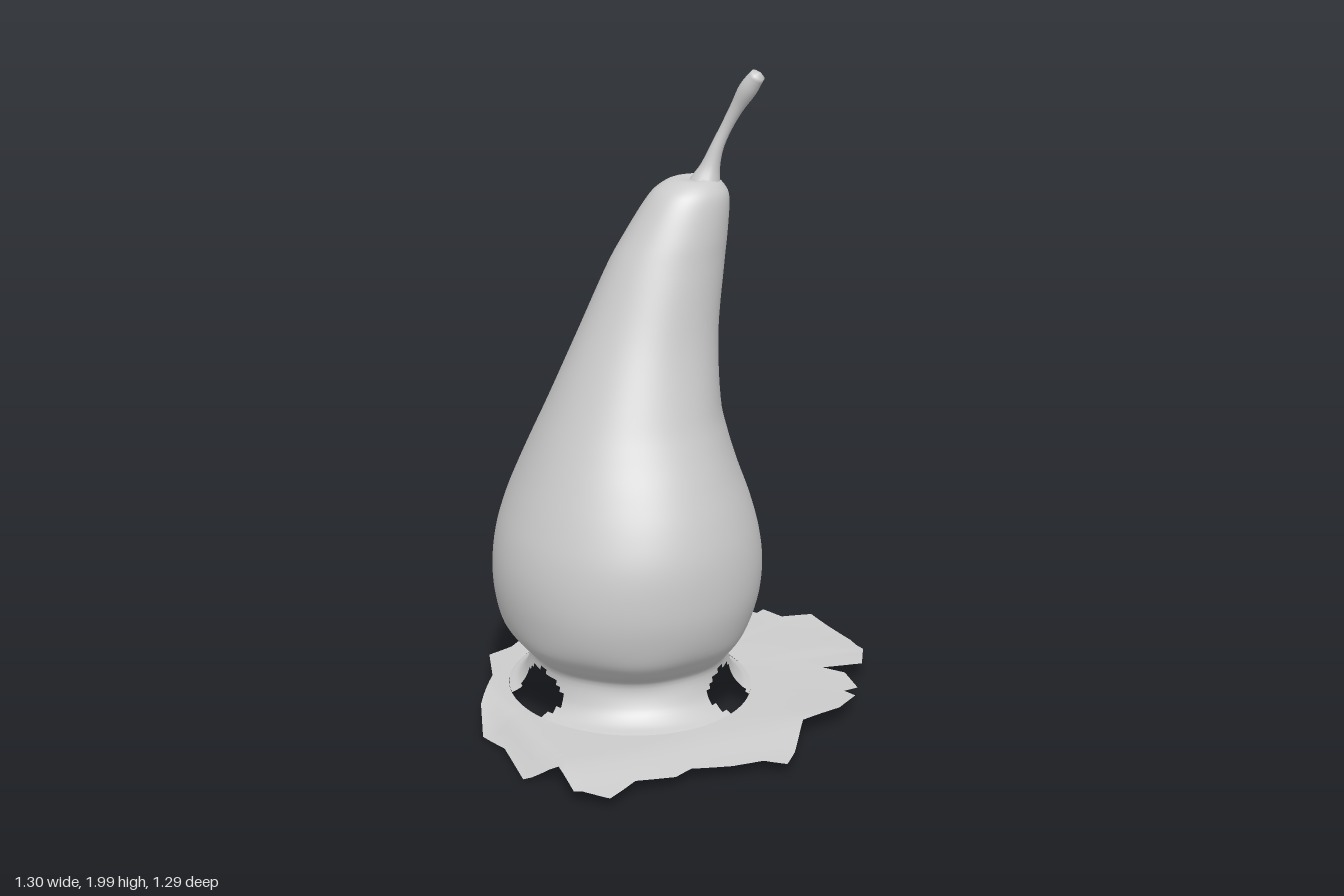
import * as THREE from 'three';
import { mergeVertices } from 'three/addons/utils/BufferGeometryUtils.js';

const material = new THREE.MeshStandardMaterial({ color: 0xcccccc, roughness: 0.8, side: THREE.DoubleSide });

// Skin a closed-loop grid: point(row, col) gives each vertex; skip(p) cuts faces away.
function skin(name, rows, cols, point, skip = () => false) {
  const pos = [], index = [], pts = [];
  for (let r = 0; r <= rows; r++)
    for (let c = 0; c < cols; c++) {
      const p = point(r, c);
      pts.push(p);
      pos.push(p.x, p.y, p.z);
    }
  for (let r = 0; r < rows; r++)
    for (let c = 0; c < cols; c++) {
      const n = (c + 1) % cols;
      const a = r * cols + c, b = r * cols + n, d = a + cols, e = b + cols;
      const mid = pts[a].clone().add(pts[e]).multiplyScalar(0.5);
      if (!skip(mid)) index.push(a, d, b, b, d, e);
    }
  const g = new THREE.BufferGeometry();
  g.setAttribute('position', new THREE.Float32BufferAttribute(pos, 3));
  g.setIndex(index);
  g.computeVertexNormals();
  const mesh = new THREE.Mesh(g, material);
  mesh.name = name;
  return mesh;
}

// Leaning fruit sections: height, min x, max x, min z, max z
const sections = [
  [0.065, -0.51, 0.24, -0.45, 0.36],
  [0.08, -0.475, 0.212, -0.425, 0.325],
  [0.12, -0.45, 0.185, -0.395, 0.288],
  [0.19, -0.44, 0.175, -0.375, 0.272],
  [0.24, -0.485, 0.192, -0.392, 0.325],
  [0.3, -0.53, 0.225, -0.432, 0.372],
  [0.4, -0.555, 0.255, -0.457, 0.4],
  [0.5, -0.56, 0.264, -0.462, 0.404],
  [0.6, -0.545, 0.252, -0.457, 0.392],
  [0.7, -0.512, 0.226, -0.432, 0.36],
  [0.8, -0.47, 0.192, -0.39, 0.315],
  [0.9, -0.425, 0.165, -0.345, 0.265],
  [1.0, -0.378, 0.148, -0.306, 0.22],
  [1.2, -0.285, 0.15, -0.25, 0.148],
  [1.4, -0.19, 0.175, -0.21, 0.1],
  [1.5, -0.13, 0.188, -0.19, 0.08],
  [1.6, -0.062, 0.196, -0.165, 0.054],
  [1.64, -0.02, 0.18, -0.145, 0.03],
  [1.66, 0.03, 0.155, -0.115, 0.0],
  [1.655, 0.09, 0.14, -0.06, -0.025],
  [1.65, 0.12, 0.12, -0.04, -0.04],
];

// Two gaps in the foot: angle, half width (degrees)
const gaps = [[50, 17], [174, 22]];
const inGap = (p) => {
  const deg = THREE.MathUtils.radToDeg(Math.atan2(p.z + 0.05, p.x + 0.135));
  return gaps.some(([mid, half]) => {
    const d = ((deg - mid + 540) % 360) - 180;
    return (d / half) ** 2 + ((p.y - 0.11) / 0.06) ** 2 < 1;
  });
};

function fruitBody() {
  const xs = new THREE.CatmullRomCurve3(sections.map((s) => new THREE.Vector3(s[1], s[0], s[2])), false, 'catmullrom');
  const zs = new THREE.CatmullRomCurve3(sections.map((s) => new THREE.Vector3(s[3], s[0], s[4])), false, 'catmullrom');
  const rows = (sections.length - 1) * 5, cols = 108;
  return skin('fruitBody', rows, cols, (r, c) => {
    const x = xs.getPoint(r / rows), z = zs.getPoint(r / rows);
    const a = (c / cols) * Math.PI * 2;
    // faint lumps, strongest on the crease above the foot
    const crease = Math.exp(-(((x.y - 0.25) / 0.06) ** 2));
    const k = 1 + 0.012 * crease * Math.sin(7 * a + 1) + 0.003 * Math.sin(5 * a + x.y * 9);
    return new THREE.Vector3(
      (x.x + x.z) / 2 + ((x.z - x.x) / 2) * Math.cos(a) * k,
      x.y,
      (z.x + z.z) / 2 + ((z.z - z.x) / 2) * Math.sin(a) * k
    );
  }, inGap);
}

// Ragged outline of the ground sheet (x, z)
const outline = [
  [-0.23, -0.64], [-0.12, -0.65], [-0.03, -0.61], [0.12, -0.54], [0.19, -0.585], [0.23, -0.54],
  [0.42, -0.44], [0.465, -0.36], [0.495, -0.38], [0.525, -0.3], [0.625, -0.28], [0.64, -0.12],
  [0.65, 0.04], [0.59, 0.145], [0.465, 0.11], [0.51, 0.18], [0.495, 0.295], [0.445, 0.3],
  [0.46, 0.345], [0.37, 0.41], [0.23, 0.44], [0.13, 0.585], [0.075, 0.645], [0.02, 0.6],
  [-0.08, 0.595], [-0.2, 0.565], [-0.26, 0.59], [-0.38, 0.57], [-0.485, 0.63], [-0.565, 0.55],
  [-0.56, 0.42], [-0.645, 0.35], [-0.63, 0.155], [-0.655, 0.035], [-0.61, -0.105], [-0.52, -0.245],
  [-0.47, -0.41], [-0.38, -0.445], [-0.255, -0.55],
];

function groundSheet() {
  const split = 4, cols = outline.length * split, rows = 8;
  return skin('groundSheet', rows, cols, (r, c) => {
    const i = Math.floor(c / split), f = (c % split) / split;
    const p = outline[i], q = outline[(i + 1) % outline.length];
    const ox = p[0] + (q[0] - p[0]) * f, oz = p[1] + (q[1] - p[1]) * f;
    const a = Math.atan2((oz + 0.045) / 0.405, (ox + 0.135) / 0.375);
    const t = r / rows;
    const x = THREE.MathUtils.lerp(ox, -0.135 + 0.375 * Math.cos(a), t);
    const z = THREE.MathUtils.lerp(oz, -0.045 + 0.405 * Math.sin(a), t);
    // edges droop at the -x side and the front
    const droop = 0.06 * THREE.MathUtils.smoothstep(-x, 0.54, 0.655) * THREE.MathUtils.smoothstep(z, -0.25, 0.03)
      + 0.025 * THREE.MathUtils.smoothstep(z, 0.4, 0.64);
    const ripple = 0.005 * Math.sin(9 * x + 2) * Math.sin(11 * z) * (1 - t);
    return new THREE.Vector3(x, Math.max(0, 0.066 + 0.006 * (1 - t) * (z < 0 ? 1 : 0) - droop + ripple), z);
  });
}

function stem() {
  const path = new THREE.CatmullRomCurve3([
    [0.115, 1.63, -0.045], [0.13, 1.68, -0.04], [0.15, 1.75, -0.03], [0.178, 1.82, -0.015],
    [0.205, 1.89, 0.012], [0.228, 1.95, 0.043], [0.245, 1.988, 0.066],
  ].map((p) => new THREE.Vector3(...p)));
  // radius along the stem: flared root, slim neck, knobbed tip
  const radii = new THREE.SplineCurve([[0, 0.052], [0.13, 0.03], [0.3, 0.02], [0.55, 0.018], [0.8, 0.021], [0.93, 0.028], [1, 0.022]]
    .map((p) => new THREE.Vector2(...p)));
  const steps = 36, sides = 16;
  let g = new THREE.TubeGeometry(path, steps, 1, sides);
  const pos = g.attributes.position, v = new THREE.Vector3();
  for (let i = 0; i <= steps; i++) {
    const centre = path.getPointAt(i / steps);
    const radius = i === steps ? 0 : radii.getPoint(i / steps).y;
    for (let j = 0; j <= sides; j++) {
      const k = i * (sides + 1) + j;
      v.fromBufferAttribute(pos, k).sub(centre).multiplyScalar(radius).add(centre);
      pos.setXYZ(k, v.x, v.y, v.z);
    }
  }
  g.deleteAttribute('uv');
  g.deleteAttribute('normal');
  g = mergeVertices(g, 1e-5);
  g.computeVertexNormals();
  const mesh = new THREE.Mesh(g, material);
  mesh.name = 'stem';
  return mesh;
}

export function createModel() {
  const model = new THREE.Group();
  model.name = 'pearOnSheet';
  model.add(fruitBody(), groundSheet(), stem());
  return model;
}
